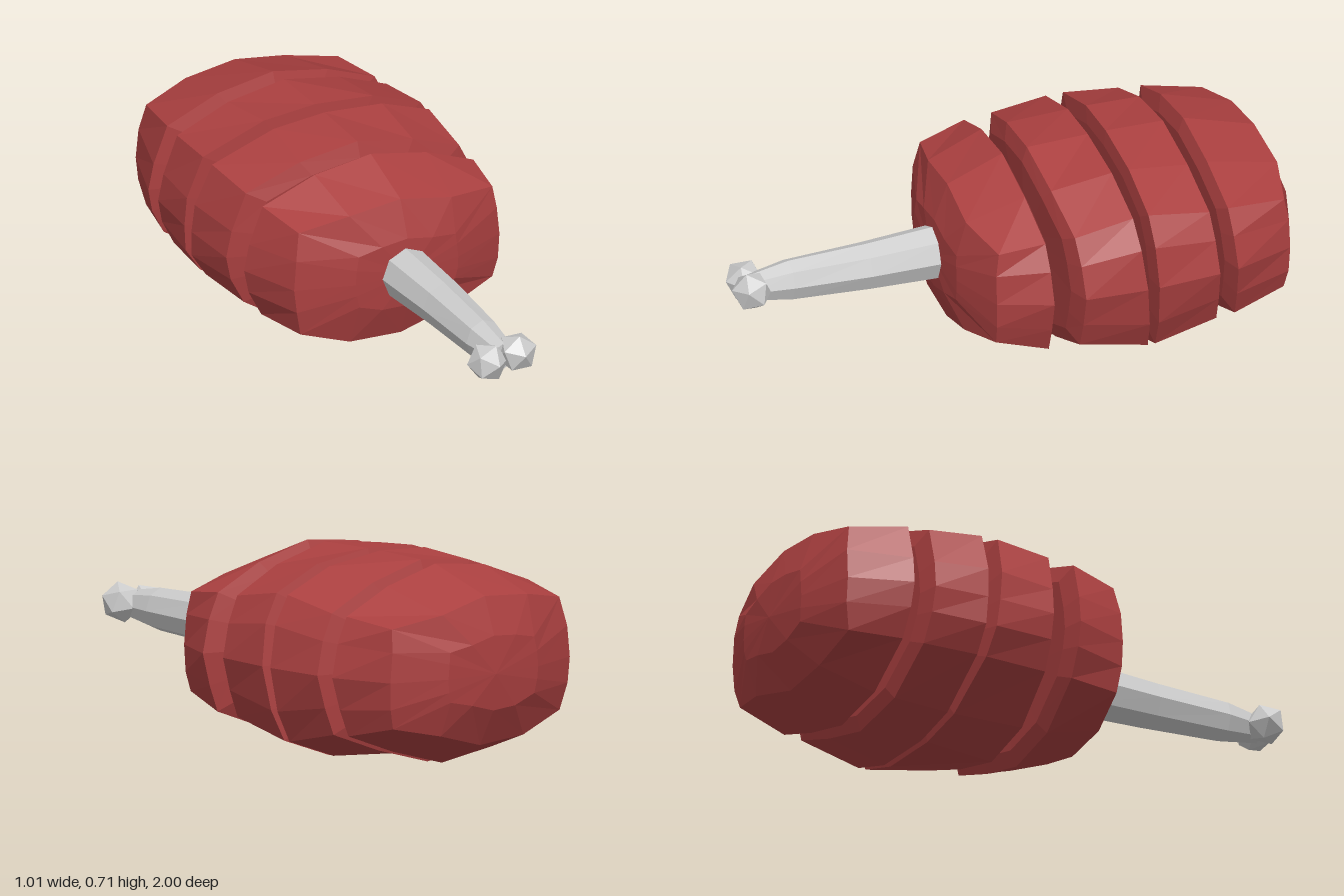
import * as THREE from 'three';

const CY = 0.355;

// 16-point outlines [x, y], clockwise from the top: widest section, outer cuts, end section
const WIDE = [[0, .71], [.23, .68], [.42, .6], [.48, .5], [.507, .355], [.48, .2], [.43, .09], [.235, .02],
  [-.04, 0], [-.23, .03], [-.44, .165], [-.5, .26], [-.507, .36], [-.5, .47], [-.44, .62], [-.2, .7]];
const OUTER = [[0, .7], [.22, .645], [.41, .56], [.455, .47], [.485, .355], [.455, .24], [.42, .145], [.22, .07],
  [0, .008], [-.23, .04], [-.42, .17], [-.47, .27], [-.488, .36], [-.47, .46], [-.42, .6], [-.22, .675]];
const END = [[0, .62], [.2, .575], [.39, .54], [.4, .46], [.41, .355], [.405, .26], [.385, .19], [.2, .15],
  [0, .095], [-.2, .11], [-.38, .175], [-.4, .27], [-.41, .36], [-.4, .47], [-.38, .57], [-.2, .605]];

// one ring of points: outline scaled about the axis, with z given by a rule
function ring(outline, s, zAt) {
  return outline.map(([px, py]) => {
    const x = px * s, y = CY + (py - CY) * s;
    return new THREE.Vector3(x, y, zAt(x, y));
  });
}

// skin rings ordered from front to back
function loft(rings) {
  const pos = [];
  const n = rings[0].length;
  const tri = (a, b, c) => {
    if (a.distanceTo(b) < 1e-6 || b.distanceTo(c) < 1e-6 || c.distanceTo(a) < 1e-6) return;
    for (const p of [a, b, c]) pos.push(p.x, p.y, p.z);
  };
  for (let i = 0; i < rings.length - 1; i++) {
    for (let j = 0; j < n; j++) {
      const k = (j + 1) % n;
      const a = rings[i][j], b = rings[i][k], c = rings[i + 1][j], d = rings[i + 1][k];
      tri(a, b, c);
      tri(b, d, c);
    }
  }
  const geo = new THREE.BufferGeometry();
  geo.setAttribute('position', new THREE.Float32BufferAttribute(pos, 3));
  geo.computeVertexNormals();
  return geo;
}

// rounded end, from centre to rim; dir is +1 at the front, -1 at the back
function dome(tip, dir, bottomDrop) {
  const zAt = (x, y) => {
    const v = (y - CY) / 0.265;
    return tip - dir * (0.085 * Math.abs(x / 0.41) ** 2.5 + (v > 0 ? 0.06 : bottomDrop) * Math.abs(v) ** 2.5);
  };
  return [0, 0.5, 1].map(s => ring(END, s, zAt));
}

// sliced face, from centre to rim: tilted, skewed and bowed, raised inside the rim
function cut(outline, size, dir, { z, tilt = 0, skew = 0, bow = 0, bulge = 0.015 }) {
  const zAt = (x, y) => z + tilt * (y - CY) + skew * x + bow * x * x;
  const raised = (x, y) => zAt(x, y) + dir * bulge;
  return [ring(outline, 0, raised), ring(outline, size * 0.84, raised), ring(outline, size, zAt)];
}

export function createModel() {
  const group = new THREE.Group();
  const meat = new THREE.MeshStandardMaterial({ color: 0xab4040, flatShading: true });
  const boneMat = new THREE.MeshStandardMaterial({ color: 0xcccccc, flatShading: true });
  const add = (name, geo, mat) => {
    const mesh = new THREE.Mesh(geo, mat);
    mesh.name = name;
    group.add(mesh);
    return mesh;
  };

  // four separate meat slices, front to back
  const slices = {
    frontSlice: [dome(0.255, 1, 0.06),
      cut(OUTER, 1, -1, { z: -0.015, tilt: 0.02, skew: 0.025, bow: -0.05, bulge: 0.025 })],
    secondSlice: [cut(OUTER, 1.015, 1, { z: -0.11, tilt: 0.03, skew: 0.02, bow: -0.12, bulge: 0.02 }),
      cut(WIDE, 1, -1, { z: -0.36, tilt: 0.1, skew: 0.015 })],
    thirdSlice: [cut(WIDE, 1, 1, { z: -0.405, tilt: 0.04, skew: 0.02, bulge: 0.01 }),
      cut(OUTER, 1.015, -1, { z: -0.62, tilt: 0.05, skew: -0.01, bulge: 0.018 })],
    backSlice: [cut(OUTER, 1, 1, { z: -0.695, tilt: 0.05, bulge: 0.022 }), dome(-1, -1, 0.09)],
  };
  for (const [name, [front, back]] of Object.entries(slices)) {
    add(name, loft([...front, ...back.reverse()]), meat);
  }

  // tapering bone shaft: [z, centre x, half width, half height]
  const shaft = [[0.92, -0.01, 0, 0], [0.92, -0.01, 0.045, 0.05], [0.78, -0.012, 0.067, 0.075],
    [0.5, -0.005, 0.082, 0.086], [0.25, -0.01, 0.092, 0.098], [0.08, -0.01, 0.092, 0.098], [0.08, -0.01, 0, 0]];
  add('boneShaft', loft(shaft.map(([z, cx, w, h]) =>
    Array.from({ length: 8 }, (_, j) => {
      const a = j / 8 * Math.PI * 2;
      return new THREE.Vector3(cx + w * Math.sin(a), CY + h * Math.cos(a), z);
    }))), boneMat);

  // two faceted knobs at the bone's end
  for (const [name, x, y, z, turn] of [['rightKnob', -0.075, 0.35, 0.919, 0.4], ['leftKnob', 0.034, 0.366, 0.933, 1.3]]) {
    const knob = add(name, new THREE.IcosahedronGeometry(0.072, 0), boneMat);
    knob.position.set(x, y, z);
    knob.rotation.set(turn, turn * 0.7, turn * 0.5);
  }
  return group;
}
